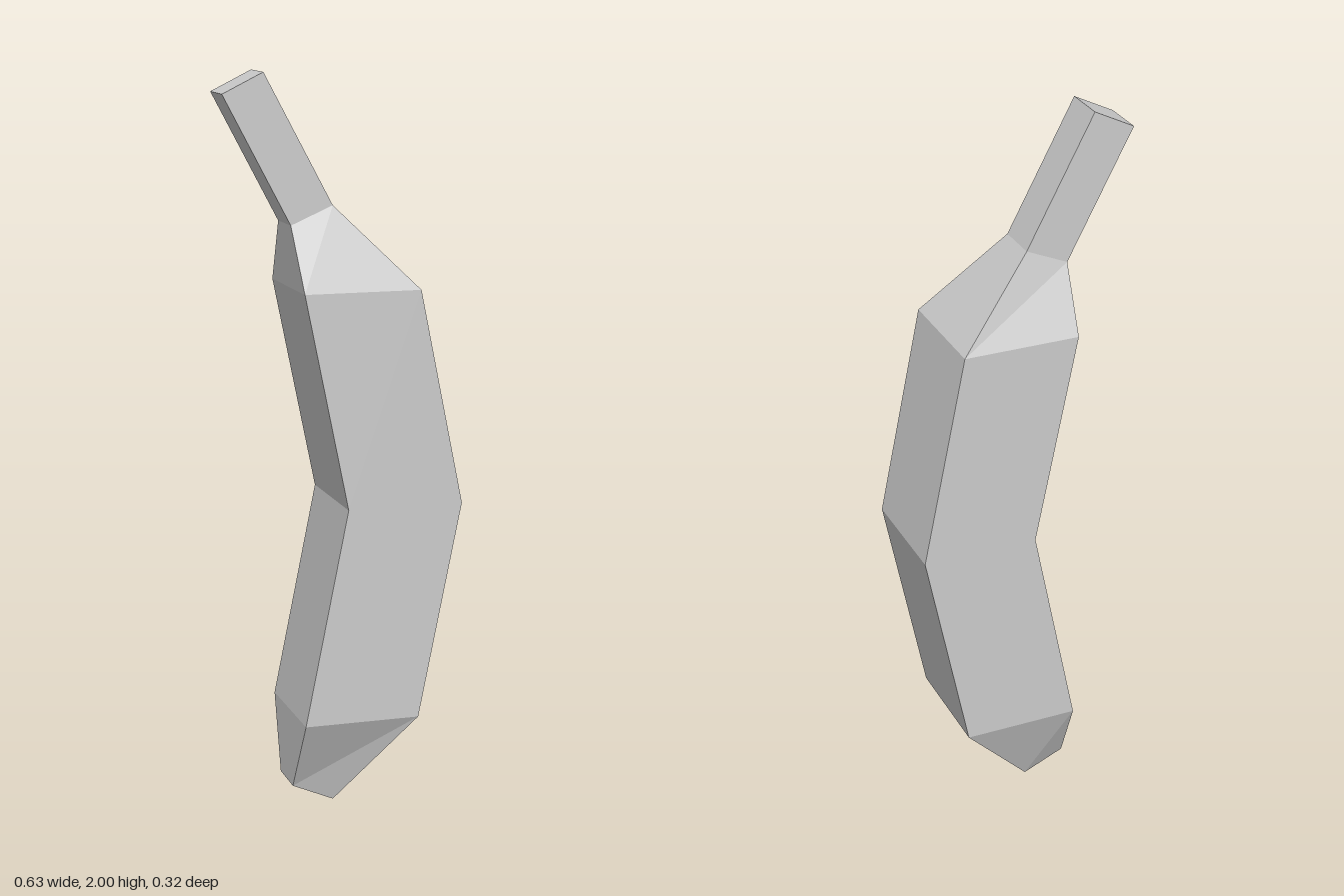
import * as THREE from 'three';

// Cross-sections from bottom to top: inner x, y; outer x, y; half depth
const tipEnd = [-0.135, 0.05, -0.02, 0, 0.062];
const lower = [-0.125, 0.25, 0.195, 0.25, 0.16];
const middle = [-0.005, 0.845, 0.315, 0.845, 0.16];
const upper = [-0.125, 1.43, 0.195, 1.43, 0.16];
const neck = [-0.135, 1.6, -0.02, 1.65, 0.062];
const stemEnd = [-0.318, 1.945, -0.207, 2, 0.062];

// Four corners of a section, counter-clockwise from above
const ring = ([ix, iy, ox, oy, d]) => [[ix, iy, d], [ox, oy, d], [ox, oy, -d], [ix, iy, -d]];

// Four-sided skin through the sections, with optional flat ends
function loft(name, sections, material, capBottom, capTop) {
  const pos = [];
  const quad = (a, b, c, d) => pos.push(...a, ...b, ...c, ...a, ...c, ...d);
  const rings = sections.map(ring);
  for (let s = 0; s < rings.length - 1; s++) {
    for (let i = 0; i < 4; i++) {
      const j = (i + 1) % 4;
      quad(rings[s][i], rings[s][j], rings[s + 1][j], rings[s + 1][i]);
    }
  }
  if (capBottom) quad(...[...rings[0]].reverse());
  if (capTop) quad(...rings[rings.length - 1]);
  const geometry = new THREE.BufferGeometry();
  geometry.setAttribute('position', new THREE.Float32BufferAttribute(pos, 3));
  geometry.computeVertexNormals();
  const mesh = new THREE.Mesh(geometry, material);
  mesh.name = name;
  return mesh;
}

export function createModel() {
  const group = new THREE.Group();
  group.name = 'banana';
  const material = new THREE.MeshStandardMaterial({ color: 0xcccccc, flatShading: true });
  group.add(
    loft('tip', [tipEnd, lower], material, true, false),
    loft('body', [lower, middle, upper], material, false, false),
    loft('shoulder', [upper, neck], material, false, false),
    loft('stem', [neck, stemEnd], material, false, true),
  );
  return group;
}
